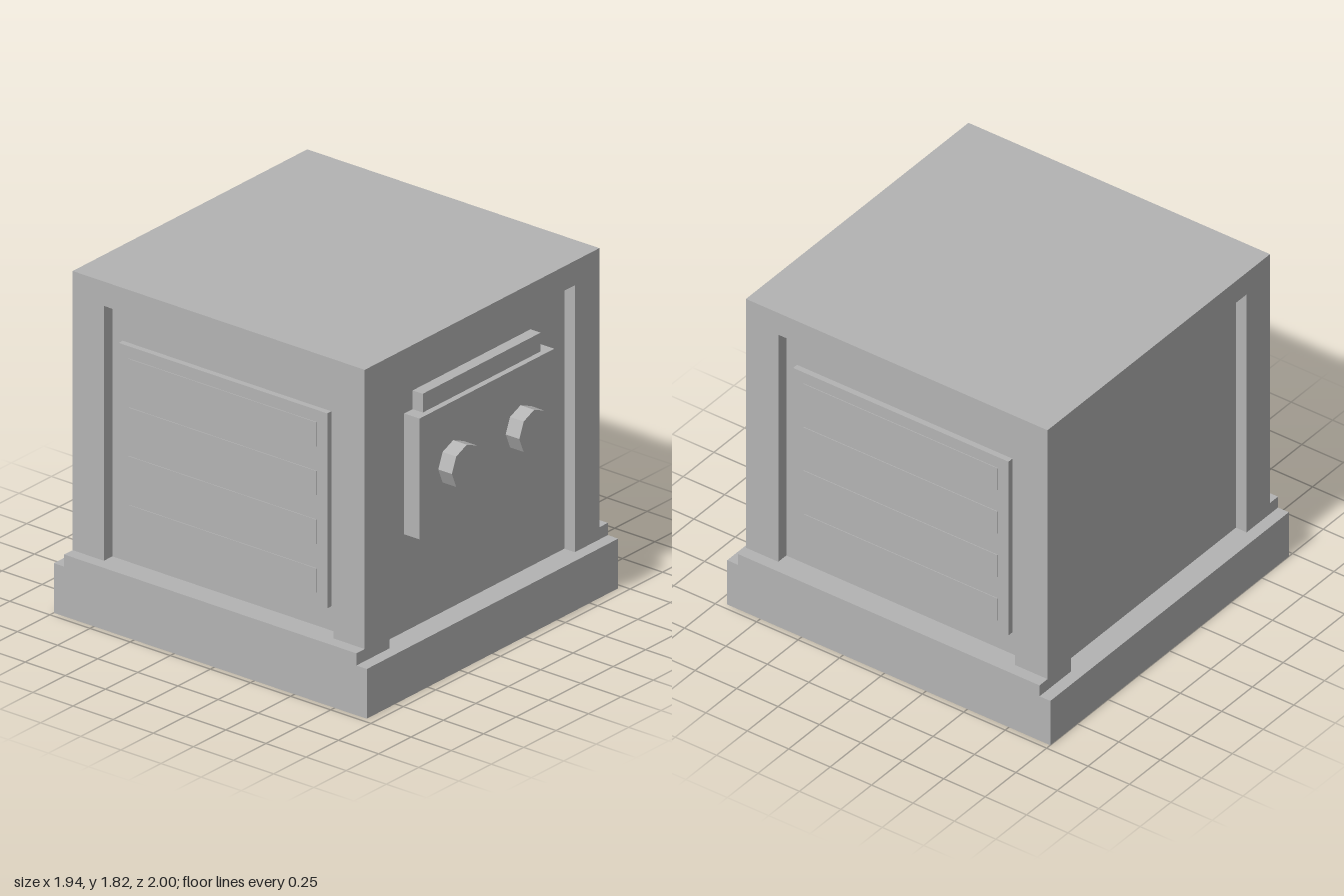
import * as THREE from 'three';

export function createModel() {
  const model = new THREE.Group();
  model.name = 'cabinet';
  const grey = new THREE.MeshStandardMaterial({ color: 0xb3b3b3 });
  grey.name = 'grey';

  // box given by its limits on each axis
  function box(name, x0, x1, y0, y1, z0, z1) {
    const mesh = new THREE.Mesh(new THREE.BoxGeometry(x1 - x0, y1 - y0, z1 - z0), grey);
    mesh.position.set((x0 + x1) / 2, (y0 + y1) / 2, (z0 + z1) / 2);
    mesh.name = name;
    model.add(mesh);
  }
  // same box on the left or right side
  function sideBox(name, s, x0, x1, y0, y1, z0, z1) {
    box(name, Math.min(s * x0, s * x1), Math.max(s * x0, s * x1), y0, y1, z0, z1);
  }

  // plinth, recessed core and top slab
  box('plinth', -0.97, 0.97, 0, 0.265, -1, 0.95);
  box('core', -0.84, 0.84, 0.265, 1.69, -0.87, 0.82);
  box('top', -0.905, 0.905, 1.69, 1.82, -0.935, 0.885);

  for (const s of [-1, 1]) {
    // side sill carrying the two corner posts
    sideBox('sideSill', s, 0.715, 0.97, 0.265, 0.33, -0.935, 0.885);
    sideBox('frontPost', s, 0.715, 0.905, 0.33, 1.69, 0.69, 0.885);
    sideBox('backPost', s, 0.715, 0.905, 0.33, 1.69, -0.935, -0.74);

    // raised vent panel with four thin slats
    sideBox('ventPanel', s, 0.83, 0.872, 0.46, 1.5, -0.675, 0.625);
    for (let i = 0; i < 4; i++) {
      const y = 0.525 + i * 0.26;
      sideBox('ventSlat', s, 0.87, 0.876, y, y + 0.13, -0.61, 0.56);
    }

    // octagonal knob
    const knob = new THREE.Mesh(new THREE.CylinderGeometry(0.115, 0.115, 0.09, 8).toNonIndexed(), grey);
    knob.geometry.computeVertexNormals();
    knob.rotation.x = Math.PI / 2;
    knob.position.set(s * 0.26, 1.107, 0.955);
    knob.name = 'knob';
    model.add(knob);
  }

  // control panel on the front
  box('controlPanel', -0.52, 0.52, 0.785, 1.43, 0.81, 0.915);
  box('controlRail', -0.455, 0.455, 1.43, 1.53, 0.81, 0.883);

  return model;
}
